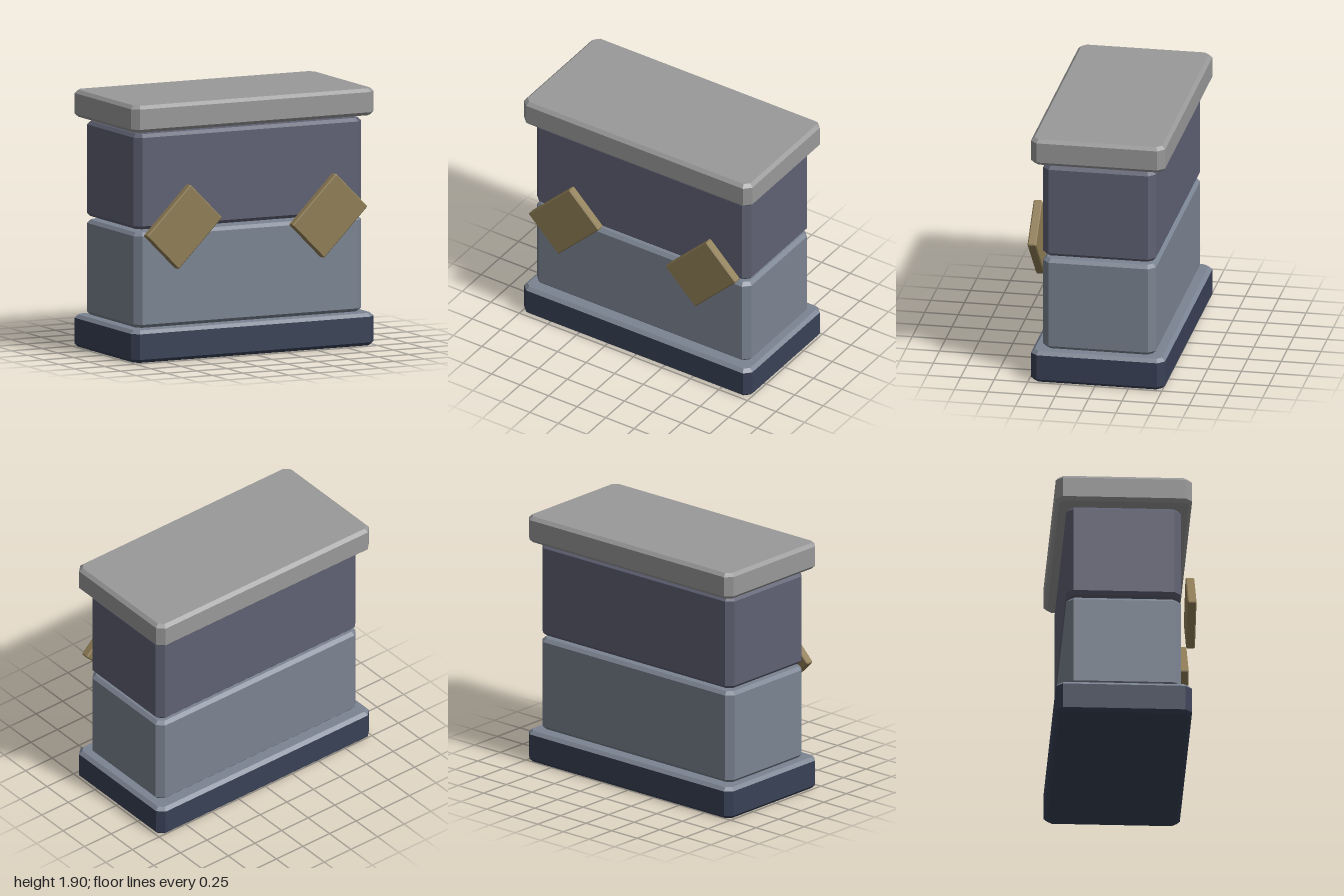
import * as THREE from 'three';

// Rectangle with chamfered corners, counter-clockwise seen from above
function ring(w, d, chamfer, inset, y) {
  const x = w / 2 - inset, z = d / 2 - inset, c = Math.max(chamfer - inset * 0.586, 0.001);
  return [
    [x, z - c], [x - c, z], [c - x, z], [-x, z - c],
    [-x, c - z], [c - x, -z], [x - c, -z], [x, c - z],
  ].map(([px, pz]) => [px, y, -pz]);
}

// Flat-shaded skin through stacked rings, closed at the chosen ends
function loft(rings, closeBottom = true, closeTop = true) {
  const n = 8, index = [];
  for (let r = 0; r < rings.length - 1; r++) {
    for (let i = 0; i < n; i++) {
      const a = r * n + i, b = r * n + (i + 1) % n;
      index.push(a, b, b + n, a, b + n, a + n);
    }
  }
  const top = (rings.length - 1) * n;
  for (let i = 1; i < n - 1; i++) {
    if (closeBottom) index.push(0, i + 1, i);
    if (closeTop) index.push(top, top + i, top + i + 1);
  }
  const indexed = new THREE.BufferGeometry();
  indexed.setAttribute('position', new THREE.Float32BufferAttribute(rings.flat(2), 3));
  indexed.setIndex(index);
  const geometry = indexed.toNonIndexed();
  geometry.computeVertexNormals();
  return geometry;
}

// Block with chamfered corners and bevelled rims
function block(w, d, y0, y1, chamfer, bevel) {
  return loft([
    ring(w, d, chamfer, bevel, y0), ring(w, d, chamfer, 0, y0 + bevel),
    ring(w, d, chamfer, 0, y1 - bevel), ring(w, d, chamfer, bevel, y1),
  ]);
}

export function createModel() {
  const model = new THREE.Group();
  const stack = new THREE.Group();
  stack.name = 'stackedBlocks';
  stack.position.z = -0.015;
  model.add(stack);

  const add = (parent, name, geometry, color) => {
    const mesh = new THREE.Mesh(geometry, new THREE.MeshStandardMaterial({ color, flatShading: true }));
    mesh.name = name;
    parent.add(mesh);
    return mesh;
  };

  // Dark plinth with a lighter upper surface
  const baseRing = (inset, y) => ring(2, 1, 0.05, inset, y);
  add(stack, 'base', loft([baseRing(0.025, 0), baseRing(0, 0.025), baseRing(0, 0.215)], true, false), 0x394156);
  add(stack, 'baseTop', loft([baseRing(0, 0.215), baseRing(0.025, 0.24)], false, true), 0x7b8492);

  // Two body blocks and the overhanging lid
  add(stack, 'lowerBody', block(1.88, 0.84, 0.245, 0.95, 0.05, 0.025), 0x7b8492);
  add(stack, 'upperBody', block(1.88, 0.84, 0.975, 1.68, 0.05, 0.025), 0x5f6173);
  add(stack, 'lid', block(2, 1, 1.705, 1.905, 0.05, 0.025), 0x999999);

  // Tilted plates in front, both leaning the same way
  const plate = block(0.51, 0.37, -0.0325, 0.0325, 0.008, 0.008).rotateX(Math.PI / 2);
  for (const [name, x] of [['rightPlate', -0.6], ['leftPlate', 0.6]]) {
    const mesh = add(model, name, plate, 0x8f7d55);
    mesh.position.set(x, 0.99, 0.4875);
    mesh.rotation.z = Math.PI / 4;
  }
  return model;
}
